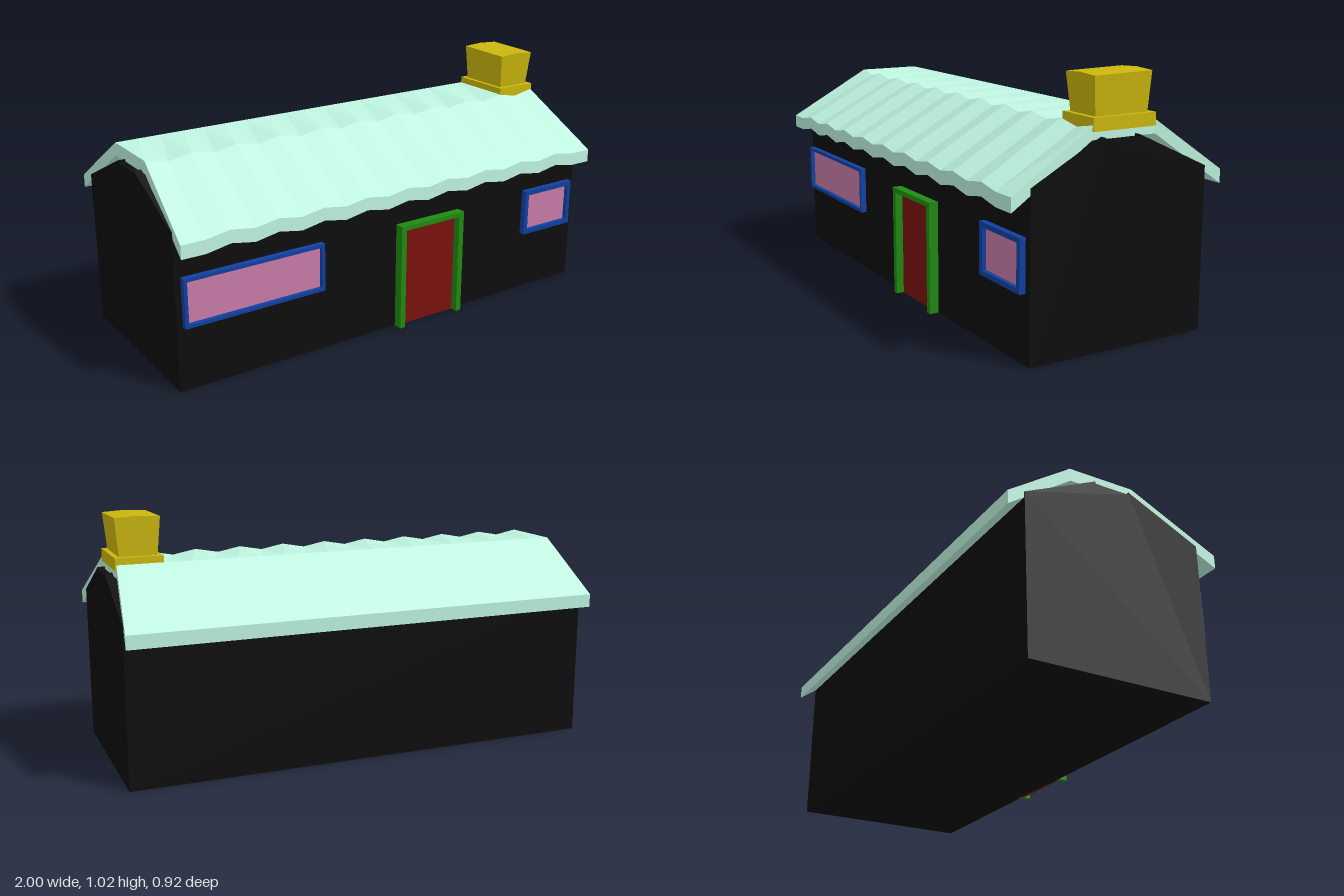
import * as THREE from 'three';

const mat = (color) => new THREE.MeshStandardMaterial({ color, flatShading: true });
const BLACK = mat(0x0d0d0d), MINT = mat(0xbff5e0), YELLOW = mat(0xcbb70d);
const GREEN = mat(0x1f8a10), BLUE = mat(0x1040a0), PINK = mat(0xc87ba8), RED = mat(0x7a110e);

function add(parent, name, geometry, material) {
  const mesh = new THREE.Mesh(geometry, material);
  mesh.name = name;
  parent.add(mesh);
  return mesh;
}

// Box given by its limits on each axis
function box(x0, x1, y0, y1, z0, z1, xSegments = 1) {
  return new THREE.BoxGeometry(x1 - x0, y1 - y0, z1 - z0, xSegments)
    .translate((x0 + x1) / 2, (y0 + y1) / 2, (z0 + z1) / 2);
}

// Gabled body, profile as [z, y], extruded along x
function wallGeometry() {
  const profile = [[0.38, 0], [0.38, 0.645], [0.07, 0.79], [0.07, 0.78],
    [-0.08, 0.78], [-0.08, 0.79], [-0.39, 0.645], [-0.39, 0]];
  const shape = new THREE.Shape(profile.map(([z, y]) => new THREE.Vector2(z, y)));
  return new THREE.ExtrudeGeometry(shape, { depth: 1.99, bevelEnabled: false })
    .rotateY(-Math.PI / 2).translate(0.995, 0, 0);
}

// Roof slab: corrugated front slope and ridge, flat back slope, ends leaning inward
function roofGeometry() {
  const n = 20, ridge = 0.965;
  const station = (i) => {
    const x = -1 + (2 * i) / n;
    const odd = i % 2 === 1;
    const eave = odd || i === 0 || i === n ? 0 : 0.018;
    const dip = odd ? -0.018 : 0;
    return [
      [x, 0.57 + eave, 0.462], [x, 0.625 + eave * 0.9, 0.462],
      [x * ridge, 0.833 + dip, 0.108], [x * ridge, 0.833, -0.172],
      [x, 0.625, -0.462], [x, 0.57, -0.462],
      [x * ridge, 0.78, -0.172], [x * ridge, 0.78 + dip, 0.108],
    ];
  };
  const positions = [];
  const quad = (a, b, c, d) => positions.push(...a, ...b, ...c, ...a, ...c, ...d);
  for (let i = 0; i < n; i++) {
    const p = station(i), q = station(i + 1);
    for (let k = 0; k < 8; k++) {
      const m = (k + 1) % 8;
      quad(p[k], q[k], q[m], p[m]);
    }
  }
  // End caps
  const left = station(n), right = station(0);
  for (const [a, b, c, d] of [[0, 1, 2, 7], [7, 2, 3, 6], [6, 3, 4, 5]]) {
    quad(left[d], left[c], left[b], left[a]);
    quad(right[a], right[b], right[c], right[d]);
  }
  const g = new THREE.BufferGeometry();
  g.setAttribute('position', new THREE.Float32BufferAttribute(positions, 3));
  g.computeVertexNormals();
  return g;
}

// Stack that flares upward, with a gently crowned, tilted top
function stackGeometry() {
  const g = box(-0.075, 0.075, 0.85, 1.006, -0.115, 0.115, 2);
  const p = g.attributes.position;
  for (let i = 0; i < p.count; i++) {
    if (p.getY(i) < 0.9) continue;
    const back = p.getZ(i) < 0;
    const crown = Math.abs(p.getX(i)) < 0.01 ? 0.005 : 0;
    p.setXYZ(i, p.getX(i) * 1.18, p.getY(i) + crown + (back ? 0.005 : 0), back ? -0.122 : 0.13);
  }
  g.translate(0.874, 0, -0.03);
  g.computeVertexNormals();
  return g;
}

function createWindow(name, x0, x1, y0, y1, border) {
  const group = new THREE.Group();
  group.name = name;
  const rect = (path, d) => path.moveTo(x0 + d, y0 + d).lineTo(x1 - d, y0 + d)
    .lineTo(x1 - d, y1 - d).lineTo(x0 + d, y1 - d).closePath();
  const outer = rect(new THREE.Shape(), 0);
  outer.holes.push(rect(new THREE.Path(), border));
  add(group, 'windowFrame', new THREE.ExtrudeGeometry(outer, { depth: 0.035, bevelEnabled: false })
    .translate(0, 0, 0.37), BLUE);
  add(group, 'windowPane', box(x0 + border, x1 - border, y0 + border, y1 - border, 0.37, 0.388), PINK);
  return group;
}

function createDoor() {
  const group = new THREE.Group();
  group.name = 'door';
  add(group, 'leftJamb', box(0.3, 0.325, 0, 0.458, 0.37, 0.42), GREEN);
  add(group, 'rightJamb', box(0, 0.025, 0, 0.458, 0.37, 0.42), GREEN);
  add(group, 'lintel', box(0.025, 0.3, 0.438, 0.458, 0.37, 0.42), GREEN);
  add(group, 'doorPanel', box(0.025, 0.3, 0, 0.438, 0.37, 0.388), RED);
  return group;
}

export function createModel() {
  const house = new THREE.Group();
  house.name = 'house';
  add(house, 'walls', wallGeometry(), BLACK);
  add(house, 'roof', roofGeometry(), MINT);

  const chimney = new THREE.Group();
  chimney.name = 'chimney';
  add(chimney, 'chimneyBase', box(0.78, 0.97, 0.81, 0.86, -0.17, 0.107), YELLOW);
  add(chimney, 'chimneyStack', stackGeometry(), YELLOW);
  house.add(chimney);

  house.add(createWindow('wideWindow', -0.97, -0.363, 0.265, 0.465, 0.014));
  house.add(createWindow('smallWindow', 0.69, 0.965, 0.265, 0.468, 0.02));
  house.add(createDoor());
  return house;
}
